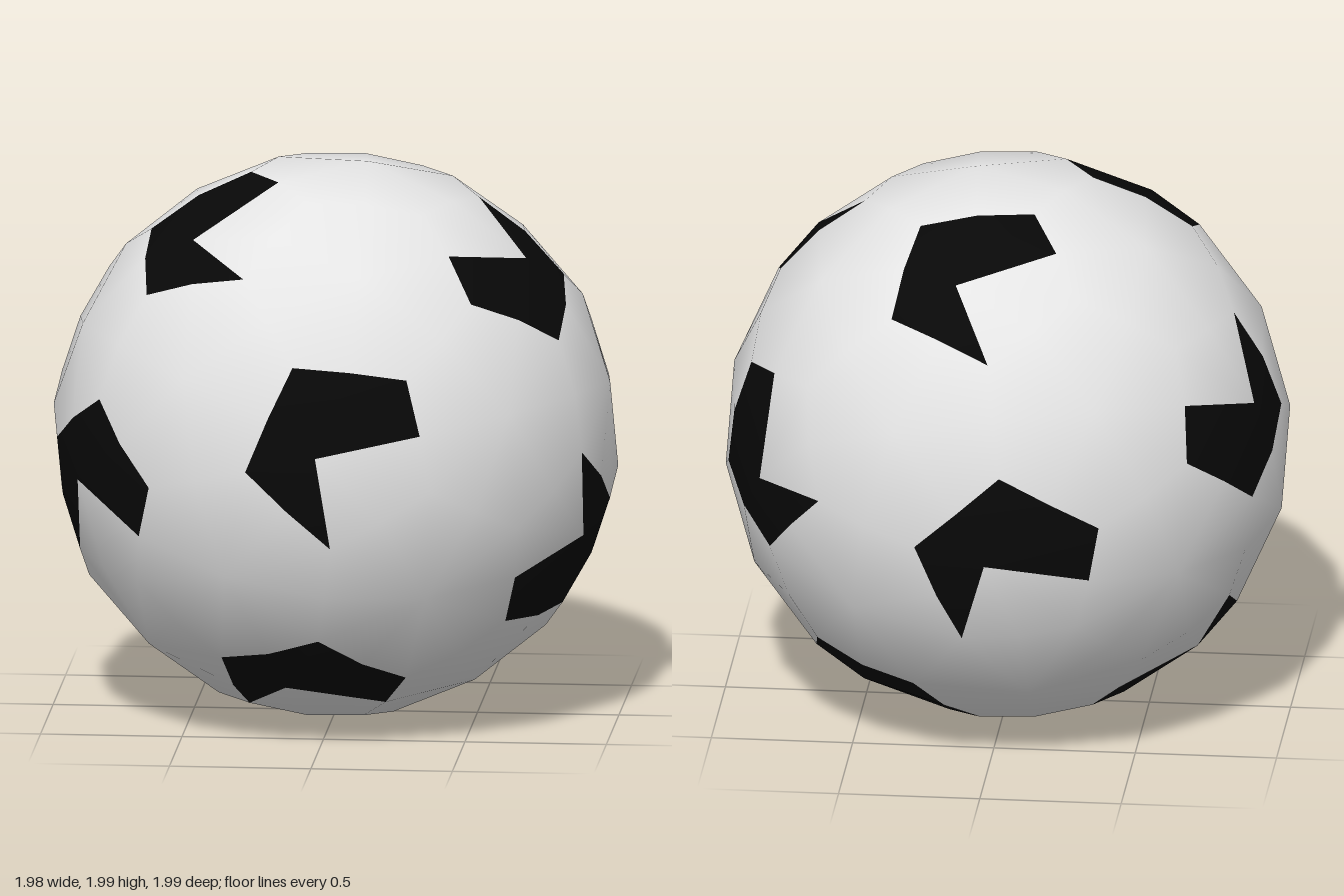
import * as THREE from 'three';

const R = 1.0;
// For each of the twelve pentagon panels: the neighbour its dark patch's sharp tip points to
const TIPS = [1, 10, 10, 0, 7, 4, 9, 6, 6, 5, 11, 3];

// Twelve pentagon centres: one tilted pole, its five neighbours, and their opposites
function panelCentres() {
  const pole = new THREE.Vector3(0.105, 0.14, 0.985).normalize();
  const e1 = new THREE.Vector3(pole.z, 0, -pole.x).normalize();
  const e2 = pole.clone().cross(e1);
  const half = [pole];
  for (let k = 0; k < 5; k++) {
    const a = THREE.MathUtils.degToRad(-96.5 - 72 * k);
    half.push(pole.clone().multiplyScalar(1 / Math.sqrt(5))
      .addScaledVector(e1, Math.cos(a) * 2 / Math.sqrt(5))
      .addScaledVector(e2, Math.sin(a) * 2 / Math.sqrt(5)));
  }
  return [...half, ...half.map((v) => v.clone().negate())];
}

const mix = (a, b, t) => a.clone().lerp(b, t).normalize();

// Adds the midpoint of every edge, pushed out to the sphere
const withMidpoints = (ring) =>
  ring.flatMap((p, i) => [p, mix(p, ring[(i + 1) % ring.length], 0.5)]);

// One triangle, wound to face outwards
function addTriangle(list, a, b, c) {
  const outward = a.dot(b.clone().cross(c)) > 0;
  list.push(a, ...(outward ? [b, c] : [c, b]));
}

// Smooth shell: normals point straight out from the centre
function makeShell(points, material, name) {
  const geometry = new THREE.BufferGeometry();
  geometry.setAttribute('position',
    new THREE.Float32BufferAttribute(points.flatMap((p) => [p.x * R, p.y * R, p.z * R]), 3));
  geometry.setAttribute('normal',
    new THREE.Float32BufferAttribute(points.flatMap((p) => p.toArray()), 3));
  const mesh = new THREE.Mesh(geometry, material);
  mesh.name = name;
  return mesh;
}

export function createModel() {
  const white = new THREE.MeshStandardMaterial({ color: 0xe4e4e4 });
  white.name = 'white';
  const black = new THREE.MeshStandardMaterial({ color: 0x080808 });
  black.name = 'black';

  const centres = panelCentres();
  const near = (i, j) => i !== j && centres[i].dot(centres[j]) > 0.3;
  const light = [];
  const dark = [];

  // Pentagon panels: a fan around an off-centre apex, dark except for a notch
  centres.forEach((c, i) => {
    const u = centres[TIPS[i]].clone().addScaledVector(c, -centres[TIPS[i]].dot(c)).normalize();
    const w = u.clone().cross(c); // clockwise seen from outside
    const angle = (p) => {
      const a = Math.atan2(p.dot(w), p.dot(u));
      return a < -0.1 ? a + Math.PI * 2 : a;
    };
    const corners = centres.filter((_, j) => near(i, j))
      .sort((p, q) => angle(p) - angle(q))
      .map((p) => mix(c, p, 1 / 3));
    const apex = mix(c, corners[1], 0.27);
    const ring = withMidpoints(corners);
    ring.forEach((p, k) => addTriangle(k < 7 ? dark : light, apex, p, ring[(k + 1) % 10]));
  });

  // Hexagon panels: one between every three neighbouring pentagons
  for (let i = 0; i < 12; i++) {
    for (let j = i + 1; j < 12; j++) {
      for (let k = j + 1; k < 12; k++) {
        if (!near(i, j) || !near(j, k) || !near(i, k)) continue;
        const tri = [centres[i], centres[j], centres[k]];
        const apex = tri[0].clone().add(tri[1]).add(tri[2]).normalize();
        const ring = withMidpoints(tri.flatMap((p, n) => {
          const q = tri[(n + 1) % 3];
          return [mix(p, q, 1 / 3), mix(p, q, 2 / 3)];
        }));
        ring.forEach((p, n) => addTriangle(light, apex, p, ring[(n + 1) % 12]));
      }
    }
  }

  const ball = new THREE.Group();
  ball.name = 'ball';
  ball.add(makeShell(light, white, 'whitePanels'), makeShell(dark, black, 'darkPatches'));
  // Rest the ball on the ground
  ball.position.y = -new THREE.Box3().setFromObject(ball).min.y;

  const model = new THREE.Group();
  model.name = 'patchedBall';
  model.add(ball);
  return model;
}
